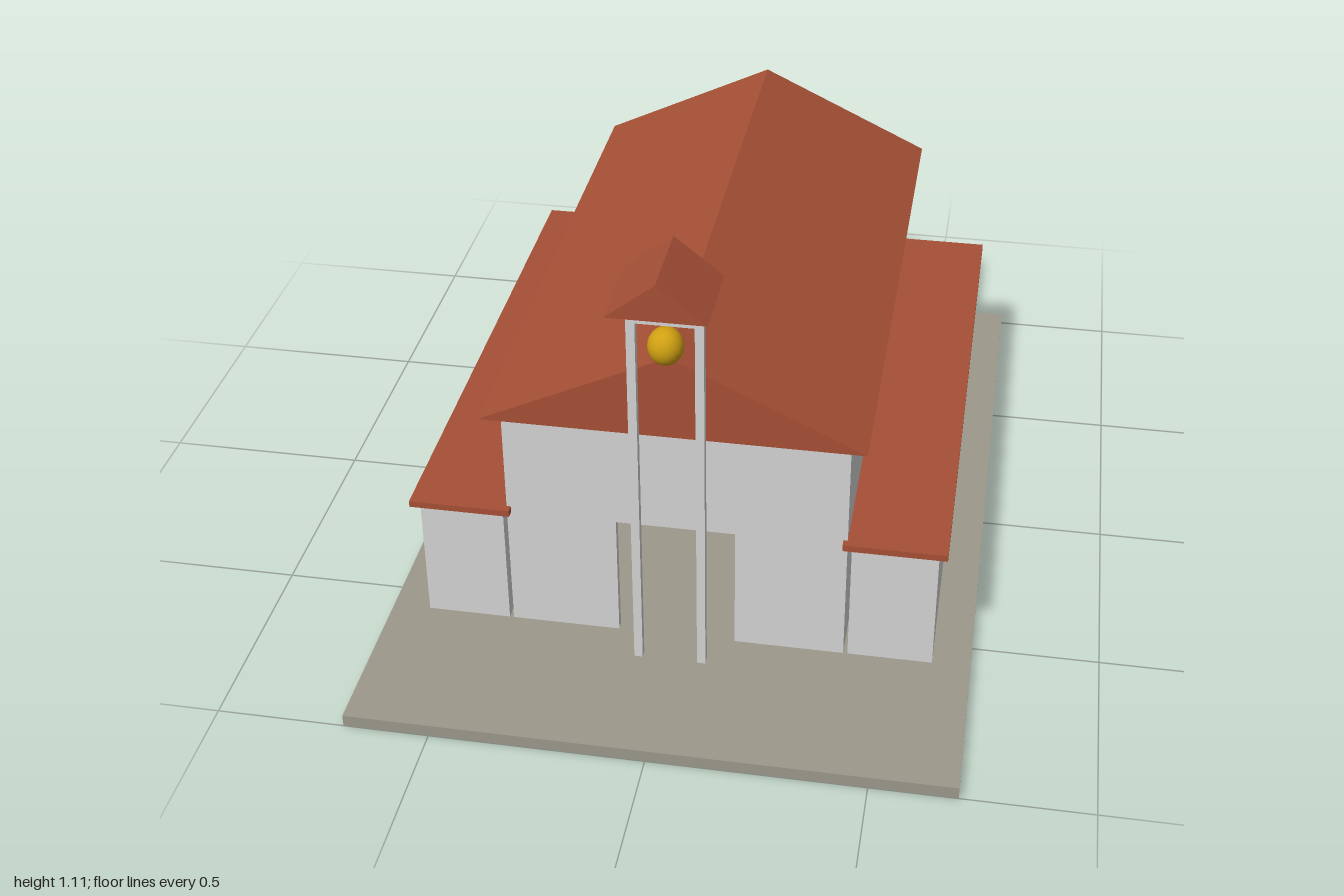
import * as THREE from 'three';

const material = (name, color) => {
  const m = new THREE.MeshStandardMaterial({ color });
  m.name = name;
  return m;
};

export function createModel() {
  const model = new THREE.Group();
  model.name = 'chapel';
  const wall = material('pale wall', 0xd4d4d4);
  const tile = material('terracotta', 0xa65036);
  const stone = material('stone', 0x9c998b);
  const glass = material('teal glass', 0x2f606a);
  const brass = material('brass', 0xcfa012);

  const add = (name, geometry, mat, parent = model) => {
    const mesh = new THREE.Mesh(geometry, mat);
    mesh.name = name;
    parent.add(mesh);
    return mesh;
  };
  // Box given by its minimum and maximum on each axis
  const box = (name, mat, [x0, x1], [y0, y1], [z0, z1], parent) =>
    add(name, new THREE.BoxGeometry(x1 - x0, y1 - y0, z1 - z0), mat, parent)
      .position.set((x0 + x1) / 2, (y0 + y1) / 2, (z0 + z1) / 2);
  // Outline in x and y, extruded from z0 to z1
  const extrude = (name, mat, points, z0, z1) => {
    const shape = new THREE.Shape(points.map(([x, y]) => new THREE.Vector2(x, y)));
    const geometry = new THREE.ExtrudeGeometry(shape, { depth: z1 - z0, bevelEnabled: false });
    add(name, geometry, mat).position.z = z0;
  };
  const gable = (name, half, y0, y1, z0, z1) =>
    extrude(name, tile, [[-half, y0], [half, y0], [0, y1]], z0, z1);

  box('base', stone, [-0.7, 0.7], [0, 0.03], [-1, 1]);

  // Hollow nave with an open doorway at the front
  extrude('frontWall', wall, [
    [-0.4, 0.03], [-0.14, 0.03], [-0.14, 0.35], [0.14, 0.35],
    [0.14, 0.03], [0.4, 0.03], [0.4, 0.63], [-0.4, 0.63],
  ], 0.58, 0.6);
  box('backWall', wall, [-0.4, 0.4], [0.03, 0.63], [-0.8, -0.78]);
  box('rightWall', wall, [-0.4, -0.38], [0.03, 0.63], [-0.78, 0.58]);
  box('leftWall', wall, [0.38, 0.4], [0.03, 0.63], [-0.78, 0.58]);
  gable('naveRoof', 0.44, 0.64, 0.85, -0.85, 0.65);

  // Side aisles with flat roofs and windows, and the bell posts
  for (const s of [-1, 1]) {
    const side = s < 0 ? 'right' : 'left';
    const span = (a, b) => (s > 0 ? [a, b] : [-b, -a]);
    const aisle = new THREE.Group();
    aisle.name = side + 'Aisle';
    model.add(aisle);
    box('aisleWalls', wall, span(0.41, 0.61), [0.03, 0.347], [-0.8, 0.6], aisle);
    box('aisleRoof', tile, span(0.39, 0.63), [0.349, 0.365], [-0.82, 0.62], aisle);
    for (const z of [0.3, 0, -0.3, -0.6])
      box('window', glass, span(0.607, 0.615), [0.15, 0.28], [z - 0.05, z + 0.05], aisle);
    box(side + 'BellPost', wall, span(0.065, 0.085), [0.03, 1.025], [0.67, 0.69]);
  }

  // Bell frame, bell and its small roof
  box('bellBeam', wall, [-0.065, 0.065], [0.955, 0.977], [0.67, 0.69]);
  const bell = add('bell', new THREE.SphereGeometry(0.04, 20, 14), brass);
  bell.scale.y = 1.1;
  bell.position.set(0, 0.9, 0.68);
  gable('bellRoof', 0.11, 1.023, 1.11, 0.575, 0.785);

  return model;
}
